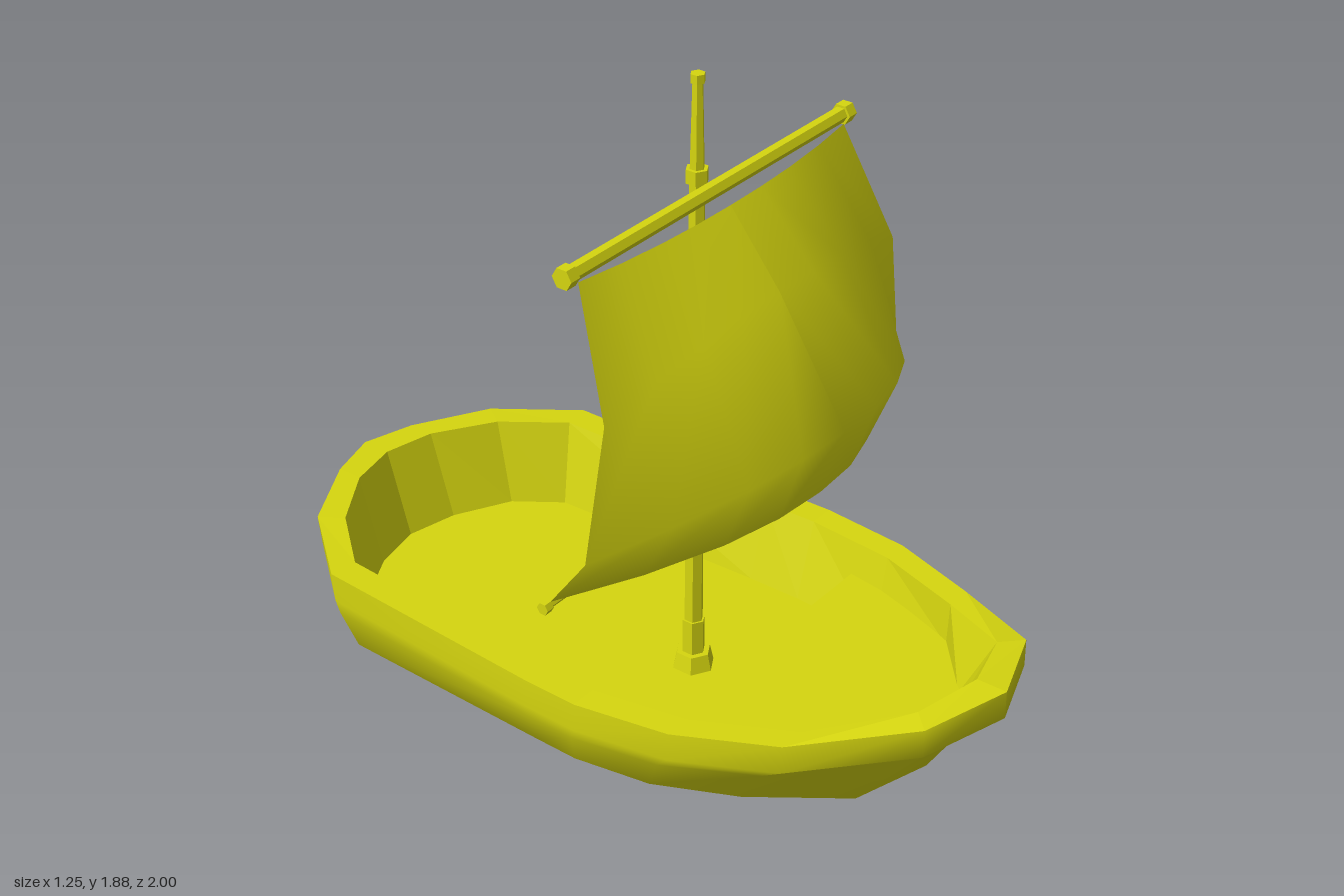
import * as THREE from 'three';

const paint = new THREE.MeshStandardMaterial({ color: 0xd6d60f, side: THREE.DoubleSide });
paint.name = 'yellow';

// Surface through rows of [x, y, z] points; sign -1 gives the mirrored half
function grid(rows, sign = 1, flat = false) {
  const n = rows[0].length, pos = [], idx = [];
  rows.forEach(r => r.forEach(([x, y, z]) => pos.push(x * sign, y, z)));
  for (let r = 0; r < rows.length - 1; r++) {
    for (let c = 0; c < n - 1; c++) {
      const a = r * n + c, b = a + 1, d = a + n, e = d + 1;
      if (sign > 0) idx.push(a, b, d, b, e, d);
      else idx.push(a, d, b, b, d, e);
    }
  }
  let g = new THREE.BufferGeometry();
  g.setAttribute('position', new THREE.Float32BufferAttribute(pos, 3));
  g.setIndex(idx);
  if (flat) g = g.toNonIndexed();
  g.computeVertexNormals();
  return g;
}

function add(parent, name, geometry) {
  const m = new THREE.Mesh(geometry, paint);
  m.name = name;
  parent.add(m);
  return m;
}

function mirrored(parent, name, rows, flat) {
  add(parent, name + 'Left', grid(rows, 1, flat));
  add(parent, name + 'Right', grid(rows, -1, flat));
}

// Six-sided flat-faced post between two heights
function post(parent, name, x, z, y0, y1, r0, r1 = r0) {
  const g = new THREE.CylinderGeometry(r1, r0, y1 - y0, 6).toNonIndexed();
  g.computeVertexNormals();
  const m = add(parent, name, g);
  m.position.set(x, (y0 + y1) / 2, z);
  return m;
}

// Six-sided spar lying across the boat, from x0 to x1
function spar(parent, name, x0, x1, y, z, r) {
  const m = post(parent, name, 0, z, 0, x1 - x0, r);
  m.position.set((x0 + x1) / 2, y, z);
  m.rotation.z = Math.PI / 2;
}

function buildHull() {
  const hull = new THREE.Group();
  hull.name = 'hull';
  // Half outlines from stern to bow as [x, z], with the sheer height of the rim
  const outer = [[0, -1], [0.14, -0.96], [0.34, -0.85], [0.5, -0.65], [0.522, 0], [0.525, 0.15], [0.49, 0.4], [0.39, 0.65], [0.22, 0.92], [0, 1]];
  const inner = [[0, -0.92], [0.14, -0.89], [0.3, -0.79], [0.425, -0.64], [0.452, 0], [0.455, 0.15], [0.42, 0.4], [0.32, 0.65], [0.17, 0.87], [0, 0.92]];
  const floor = [[0, -0.85], [0.14, -0.82], [0.29, -0.74], [0.375, -0.62], [0.39, 0], [0.39, 0.15], [0.37, 0.4], [0.31, 0.65], [0.16, 0.78], [0, 0.83]];
  const sheer = [0.505, 0.505, 0.503, 0.495, 0.475, 0.475, 0.485, 0.505, 0.575, 0.59];

  // Planking levels: height, half width, bow reach, stern reach, share of sheer
  const levels = [
    [0.475, 0.525, 1, 1, 1], [0.4, 0.527, 1, 0.985, 1], [0.37, 0.523, 0.91, 0.97, 0.75],
    [0.28, 0.49, 0.8, 0.93, 0], [0.22, 0.425, 0.69, 0.85, 0], [0.165, 0.36, 0.6, 0.82, 0],
    [0.11, 0.21, 0.46, 0.75, 0], [0.067, 0, 0.27, 0.62, 0],
  ];
  const planks = levels.map(([y, w, front, back, s]) => outer.map(([x, z], i) =>
    [x / 0.525 * w, y + s * (sheer[i] - 0.475), z * (z > 0 ? front : back)]));
  const rimIn = inner.map(([x, z], i) => [x, sheer[i], z]);
  const bottom = floor.map(([x, z]) => [x, z > 0.5 ? 0.39 : 0.27, z]);
  const centre = row => row.map(([, y, z]) => [0, y, z]);

  mirrored(hull, 'planking', planks);
  mirrored(hull, 'rim', [rimIn, planks[0]], true);
  mirrored(hull, 'innerWall', [bottom, rimIn], true);
  mirrored(hull, 'floor', [centre(bottom), bottom], true);

  // Raised foredeck with its step
  const deck = [[0.41, 0.3], [0.395, 0.4], [0.32, 0.65], [0.165, 0.8], [0, 0.85]].map(([x, z]) => [x, 0.4, z]);
  mirrored(hull, 'foredeck', [centre(deck), deck], true);
  const step = add(hull, 'foredeckStep', new THREE.BoxGeometry(0.8, 0.128, 0.01));
  step.position.set(0, 0.335, 0.306);
  return hull;
}

function buildSail() {
  const sail = new THREE.Group();
  sail.name = 'sail';
  // Side edge and centre line from top to bottom, bulging forward
  const edge = [[0.5, 1.59, 0.165], [0.56, 1.3, 0.28], [0.62, 0.97, 0.27], [0.6, 0.81, 0.15]];
  const mid = [[1.585, 0.2], [1.41, 0.34], [1.11, 0.53], [0.925, 0.47]];
  const rows = edge.map(([x, y, z], i) => [1, 0.75, 0.48, 0.24, 0].map(u => {
    const k = Math.pow(u, 2.2);
    return [x * u, mid[i][0] + (y - mid[i][0]) * k, mid[i][1] + (z - mid[i][1]) * k];
  }));
  mirrored(sail, 'sailCloth', rows);
  return sail;
}

function buildRig() {
  const rig = new THREE.Group();
  rig.name = 'rig';
  const z = 0.105;
  post(rig, 'mastFoot', 0, z, 0.27, 0.315, 0.055, 0.045);
  post(rig, 'mastSocket', 0, z, 0.315, 0.41, 0.03);
  post(rig, 'lowerMast', 0, z, 0.3, 1.62, 0.025, 0.02);
  post(rig, 'topMast', 0, z, 1.62, 1.87, 0.019, 0.013);
  post(rig, 'mastCap', 0, z, 1.86, 1.882, 0.018);
  post(rig, 'boomCollar', 0, z, 0.785, 0.82, 0.032);
  post(rig, 'yardCollar', 0, z, 1.615, 1.65, 0.028);
  spar(rig, 'yard', -0.53, 0.53, 1.608, 0.15, 0.02);
  spar(rig, 'boom', -0.615, 0.615, 0.8, 0.145, 0.01);
  for (const s of [-1, 1]) {
    spar(rig, 'yardEnd', s * 0.522 - 0.015, s * 0.522 + 0.015, 1.608, 0.15, 0.027);
    spar(rig, 'boomEnd', s * 0.612 - 0.011, s * 0.612 + 0.011, 0.8, 0.145, 0.016);
  }
  return rig;
}

function buildRudder() {
  const rudder = new THREE.Group();
  rudder.name = 'rudder';
  // Blade outline in [z, y]; it tapers to a thin trailing edge
  const outline = [[-0.865, 0.25], [-0.9, 0.26], [-0.95, 0.205], [-0.99, 0.12], [-0.985, 0.06], [-0.95, 0], [-0.88, 0.05], [-0.8, 0.08], [-0.855, 0.165]];
  const shape = new THREE.Shape(outline.map(([z, y]) => new THREE.Vector2(-z, y)));
  const g = new THREE.ExtrudeGeometry(shape, { depth: 0.02, bevelEnabled: false });
  g.translate(0, 0, -0.01);
  g.rotateY(Math.PI / 2);
  const p = g.attributes.position;
  for (let i = 0; i < p.count; i++) p.setX(i, p.getX(i) * THREE.MathUtils.clamp(p.getY(i) / 0.15, 0.1, 1));
  g.computeVertexNormals();
  add(rudder, 'rudderBlade', g);
  for (const y of [0.135, 0.2]) {
    add(rudder, 'rudderHinge', new THREE.BoxGeometry(0.018, 0.022, 0.16)).position.set(0, y, -0.8);
  }
  return rudder;
}

export function createModel() {
  const boat = new THREE.Group();
  boat.name = 'sailboat';
  boat.add(buildHull(), buildRig(), buildSail(), buildRudder());
  // Oar pins on the left rim
  for (const z of [-0.05, -0.155]) post(boat, 'oarPin', 0.475, z, 0.47, 0.52, 0.012, 0.022);
  return boat;
}
